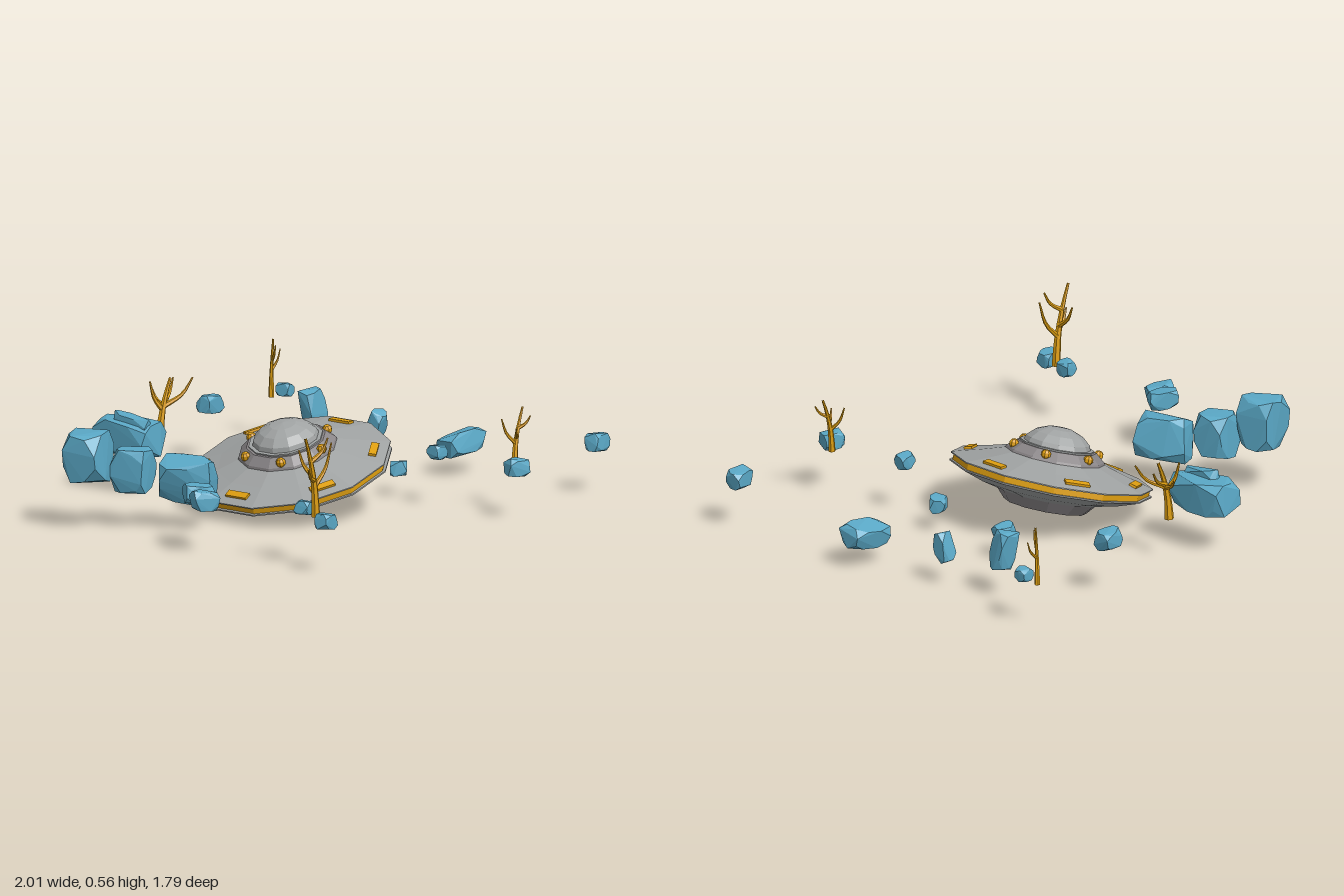
import * as THREE from 'three';
import { ConvexGeometry } from 'three/addons/geometries/ConvexGeometry.js';
import { mergeGeometries } from 'three/addons/utils/BufferGeometryUtils.js';

const paint = (name, color) => {
  const m = new THREE.MeshStandardMaterial({ color });
  m.name = name;
  return m;
};
const hullGrey = paint('hull grey', 0xa0a3a3);
const neckGrey = paint('neck grey', 0x8a8688);
const darkGrey = paint('dark grey', 0x5c5b5c);
const gold = paint('gold', 0xdf9f10);
const blue = paint('rock blue', 0x5aa8c6);

function add(parent, name, geometry, material) {
  const m = new THREE.Mesh(geometry, material);
  m.name = name;
  parent.add(m);
  return m;
}

function faceted(geometry) {
  const g = geometry.toNonIndexed();
  g.computeVertexNormals();
  return g;
}

// Twelve-sided turned part; the profile runs from bottom to top
function turned(profile) {
  const pts = profile.map(([r, y]) => new THREE.Vector2(r, y));
  return faceted(new THREE.LatheGeometry(pts, 12, Math.PI / 12));
}

function saucer() {
  const g = new THREE.Group();
  g.name = 'saucer';
  add(g, 'upperHull', turned([[0.407, 0.013], [0.42, 0.013], [0.42, 0.018], [0.3, 0.05], [0.2, 0.08]]), hullGrey);
  add(g, 'rimBand', turned([[0.408, -0.014], [0.408, 0.014]]), gold);
  add(g, 'lowerHull', turned([[0.215, -0.083], [0.32, -0.055], [0.42, -0.019], [0.42, -0.013], [0.407, -0.013]]), hullGrey);
  add(g, 'baseRing', turned([[0.15, -0.131], [0.172, -0.131], [0.215, -0.083]]), neckGrey);
  add(g, 'baseLip', turned([[0.125, -0.112], [0.133, -0.131], [0.15, -0.131]]), darkGrey);
  add(g, 'baseWindow', turned([[0, -0.112], [0.126, -0.112]]), blue);
  add(g, 'neck', turned([[0.207, 0.077], [0.203, 0.088], [0.165, 0.12], [0.15, 0.12]]), neckGrey);
  add(g, 'domeCollar', turned([[0.155, 0.117], [0.155, 0.126], [0.138, 0.126]]), hullGrey);
  const dome = [];
  for (let i = 0; i <= 4; i++) {
    const a = i * Math.PI / 8;
    dome.push([i === 4 ? 0 : 0.143 * Math.cos(a), 0.112 + 0.087 * Math.sin(a)]);
  }
  add(g, 'dome', turned(dome), hullGrey);

  // Six flat deck lights and six round neck lights
  for (let i = 0; i < 6; i++) {
    const deck = new THREE.Group();
    deck.name = 'deckLight';
    deck.rotation.y = i * Math.PI / 3;
    const d = add(deck, 'deckLamp', new THREE.BoxGeometry(0.032, 0.014, 0.105), gold);
    d.position.set(0.352, 0.036, 0);
    d.rotation.z = -0.27;
    const neck = new THREE.Group();
    neck.name = 'neckLight';
    neck.rotation.y = (i + 0.5) * Math.PI / 3;
    const n = add(neck, 'neckLamp', faceted(new THREE.SphereGeometry(0.021, 8, 5)), gold);
    n.position.set(0.183, 0.106, 0);
    g.add(deck, neck);
  }
  g.position.set(-0.045, 0.172, -0.022);
  g.rotation.z = 0.276;
  return g;
}

function seeded(seed) {
  let s = seed * 7919 + 17;
  return () => (s = (s * 16807) % 2147483647) / 2147483647;
}

// Rock: box with unevenly cut corners
function rock(parent, name, [x, y, z], [w, h, d], turn) {
  const rnd = seeded(parent.children.length);
  rnd(); rnd();
  const pts = [];
  for (const sx of [-1, 1]) for (const sy of [-1, 1]) for (const sz of [-1, 1]) {
    for (let axis = 0; axis < 3; axis++) {
      const cut = () => 0.76 + 0.26 * rnd();
      const k = [cut(), cut(), cut()];
      k[axis] = 0.15 + 0.4 * rnd();
      pts.push(new THREE.Vector3(sx * k[0] * w / 2, sy * k[1] * h / 2, sz * k[2] * d / 2));
    }
  }
  const m = add(parent, name, new ConvexGeometry(pts), blue);
  m.position.set(x, y, z);
  m.rotation.set(...turn);
}

// Limb: tube along a curve, narrowed towards its tip
function limb(points, radius) {
  const path = new THREE.CatmullRomCurve3(points);
  const rows = 6, sides = 6;
  const g = new THREE.TubeGeometry(path, rows, radius, sides, false);
  const pos = g.attributes.position, v = new THREE.Vector3();
  for (let i = 0; i < pos.count; i++) {
    const u = Math.floor(i / (sides + 1)) / rows;
    const c = path.getPointAt(u);
    v.fromBufferAttribute(pos, i).sub(c).multiplyScalar(1 - 0.7 * u).add(c);
    pos.setXYZ(i, v.x, v.y, v.z);
  }
  return faceted(g);
}

// Dead tree: the trunk leans more towards its top; each branch leaves it at
// fraction t and sweeps outwards, then up, to the offset dx, dy, dz
function deadTree(parent, radius, base, lean, branches) {
  const at = t => new THREE.Vector3(base[0] + lean[0] * t * t, base[1] + lean[1] * t, base[2] + lean[2] * t * t);
  const limbs = [limb([0, 0.35, 0.7, 1].map(at), radius)];
  for (const [t, dx, dy, dz] of branches) {
    const bend = new THREE.Vector3(dx * 0.65, dy * 0.4, dz * 0.65).add(at(t));
    limbs.push(limb([at(t), bend, new THREE.Vector3(dx, dy, dz).add(at(t))], radius * 0.6));
  }
  add(parent, 'deadTree', mergeGeometries(limbs), gold);
}

export function createModel() {
  const model = new THREE.Group();
  model.name = 'crashedSaucerScene';
  model.add(saucer());

  // Boulders behind and beside the saucer
  rock(model, 'boulder', [-0.213, 0.23, -0.728], [0.16, 0.145, 0.285], [0, 0.04, 0]);
  rock(model, 'boulder', [-0.235, 0.275, -0.7], [0.06, 0.11, 0.18], [0.1, 0.02, 0]);
  rock(model, 'boulder', [-0.86, 0.297, -0.425], [0.18, 0.22, 0.17], [0, 0.15, 0]);
  rock(model, 'boulder', [-0.73, 0.24, -0.295], [0.14, 0.185, 0.148], [0, 0.2, 0]);
  rock(model, 'boulder', [-0.617, 0.207, -0.11], [0.16, 0.195, 0.23], [0, 0.4, 0.25]);
  rock(model, 'boulder', [0.893, 0.127, 0.122], [0.21, 0.095, 0.12], [-0.25, -0.12, 0.08]);
  rock(model, 'boulder', [0.833, 0.155, -0.272], [0.068, 0.135, 0.065], [0.25, 0.05, 0]);
  rock(model, 'boulder', [0.768, 0.2, -0.55], [0.098, 0.17, 0.08], [-0.12, -0.2, 0.1]);

  // Small stones: x, y, z, width, yaw
  const stones = [
    [-0.885, 0.23, 0.165, 0.12, -0.6], [-0.945, 0.22, 0.24, 0.115, -0.5],
    [0.355, 0.222, 0.423, 0.07, -0.1], [0.407, 0.113, 0.182, 0.078, 0.6],
    [0.45, 0.113, -0.24, 0.085, -0.15], [0.445, 0.235, -0.833, 0.105, 0.05],
    [0.938, 0.21, -0.828, 0.057, 0.05], [0.947, 0.213, 0.787, 0.105, 0.1],
    [0.365, 0.213, 0.828, 0.095, -0.35], [-0.855, 0.237, 0.69, 0.068, 0.15],
    [-0.93, 0.215, 0.86, 0.085, 0.05],
  ];
  for (const [x, y, z, w, yaw] of stones) {
    rock(model, 'stone', [x, y, z], [w, 0.03 + w * 0.43, 0.045 + w * 0.32], [0, yaw, -0.12]);
  }

  deadTree(model, 0.019, [-0.88, 0.215, 0.77], [-0.075, 0.34, 0.005],
    [[0.45, -0.085, 0.065, 0.04], [0.37, 0.095, 0.17, 0.013], [0.69, 0.08, 0.09, 0.025], [0.5, 0, 0.1, -0.075]]);
  deadTree(model, 0.02, [-0.01, 0.175, -0.73], [0.055, 0.255, 0.01],
    [[0.55, 0.118, 0.11, 0.06], [0.5, -0.04, 0.12, -0.035], [0.6, 0.105, 0.085, -0.035], [0.55, 0.03, 0.055, -0.08]]);
  deadTree(model, 0.015, [0.43, 0.195, 0.765], [0.06, 0.24, -0.005],
    [[0.4, -0.03, 0.1, -0.05], [0.5, -0.045, 0.05, 0.035], [0.65, 0.045, 0.05, 0.03]]);
  deadTree(model, 0.012, [0.915, 0.175, -0.885], [0, 0.245, 0.01],
    [[0.47, 0.05, 0.08, 0.005], [0.63, -0.015, 0.07, 0.03]]);
  return model;
}
